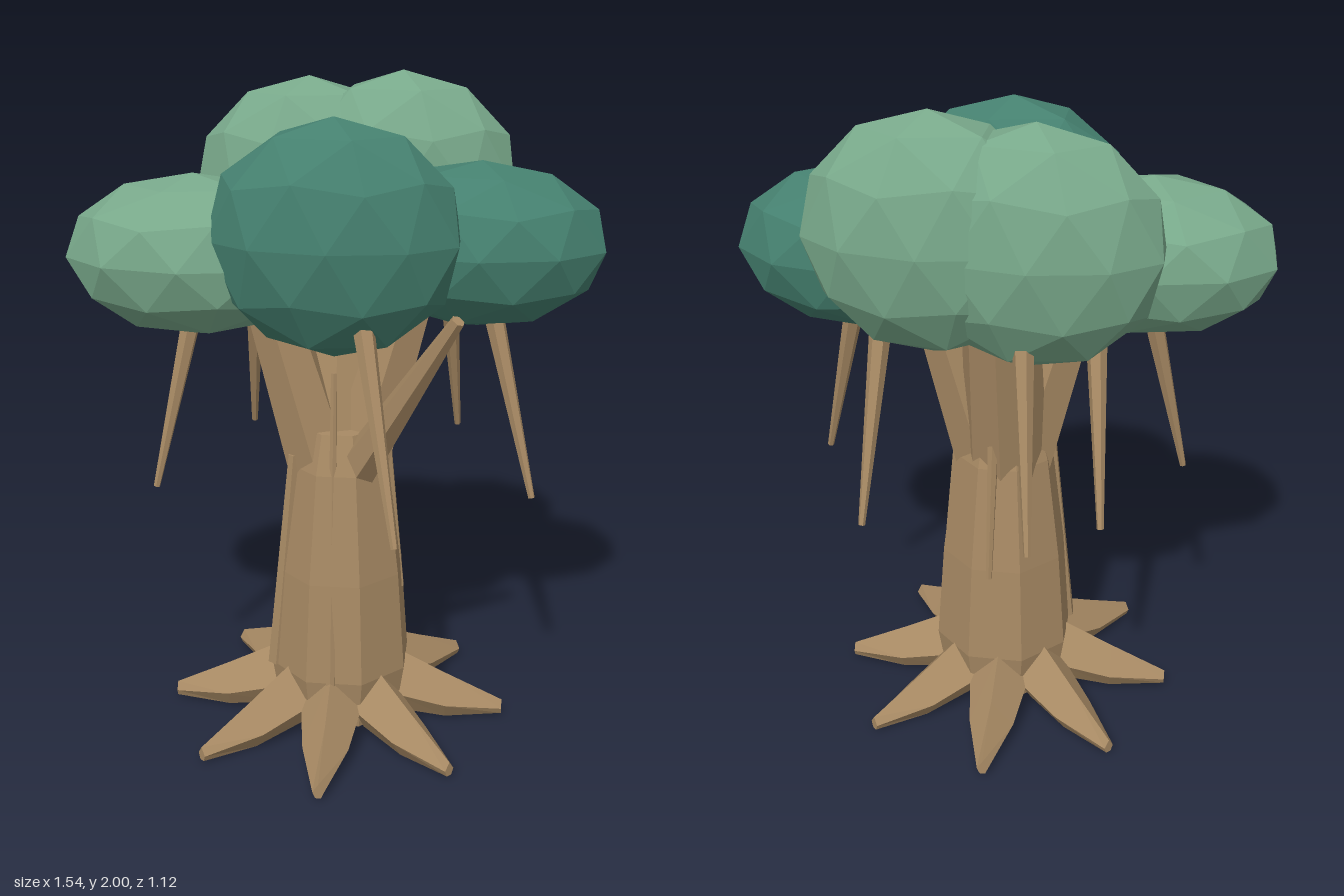
import * as THREE from 'three';

const V = (a) => new THREE.Vector3(...a);

export function createModel() {
  const tree = new THREE.Group();
  tree.name = 'tree';
  const material = (name, color) => {
    const m = new THREE.MeshStandardMaterial({ color, flatShading: true });
    m.name = name;
    return m;
  };
  const bark = material('bark', 0xa88a64);
  const lightLeaf = material('lightLeaf', 0x78a88a);
  const darkLeaf = material('darkLeaf', 0x45806f);

  const add = (name, geometry, mat) => {
    const mesh = new THREE.Mesh(geometry, mat);
    mesh.name = name;
    tree.add(mesh);
    return mesh;
  };

  // Tapered straight limb between two points
  const limb = (name, from, to, r0, r1, sides = 6) => {
    const a = V(from), b = V(to), dir = b.clone().sub(a);
    const mesh = add(name, new THREE.CylinderGeometry(r1, r0, dir.length(), sides), bark);
    mesh.position.copy(a).add(b).multiplyScalar(0.5);
    mesh.quaternion.setFromUnitVectors(new THREE.Vector3(0, 1, 0), dir.normalize());
  };

  // Trunk: eight-sided, narrowing upwards
  const profile = [[0, 0.04], [0.2, 0.04], [0.225, 0.2], [0.2, 0.52], [0.155, 0.86], [0.12, 0.98], [0, 0.98]];
  const trunk = add('trunk', new THREE.LatheGeometry(
    profile.map(([r, y]) => new THREE.Vector2(r, y)), 8, Math.PI / 8), bark);
  trunk.position.set(0.01, 0, 0.03);

  // Thin aerial roots hugging the trunk
  limb('frontTrunkRoot', [0, 0.1, 0.245], [0, 1.17, 0.13], 0.016, 0.01);
  limb('leftTrunkRoot', [0.2, 0.43, 0], [0.14, 0.95, 0], 0.008, 0.02);
  limb('rightTrunkRoot', [-0.185, 0.2, 0.11], [-0.125, 0.9, 0.1], 0.03, 0.018);
  limb('backTrunkRoot', [0.03, 0.5, -0.165], [0.02, 1.1, -0.1], 0.01, 0.02);

  // Main branches into the crown
  limb('leftBranch', [0.04, 0.78, 0.02], [0.22, 1.42, 0], 0.11, 0.08);
  limb('rightBranch', [-0.03, 0.78, 0.04], [-0.21, 1.42, 0.05], 0.11, 0.08);
  limb('backBranch', [0.0, 0.8, 0.02], [0, 1.5, -0.14], 0.13, 0.11, 8);
  limb('frontBranch', [0.03, 0.8, 0.08], [0.36, 1.39, 0.32], 0.07, 0.02);

  // Ground roots: a ridged five-point section swept outwards
  // Stations: radius, half width, ridge height, flank height, underside height
  const stations = [
    [0.1, 0.06, 0.22, 0.11, 0.05],
    [0.19, 0.095, 0.22, 0.11, 0.03],
    [0.35, 0.07, 0.14, 0.06, 0.004],
    [0.53, 0.017, 0.055, 0.03, 0.01],
  ];
  const positions = [], index = [];
  for (const [r, w, top, mid, low] of stations) {
    for (const [x, y] of [[0, top], [-w, mid], [-w * 0.5, low], [w * 0.5, low], [w, mid]]) positions.push(x, y, r);
  }
  for (let s = 0; s < stations.length - 1; s++) {
    for (let i = 0; i < 5; i++) {
      const a = s * 5 + i, b = s * 5 + (i + 1) % 5;
      index.push(a, b, b + 5, a, b + 5, a + 5);
    }
  }
  const end = (stations.length - 1) * 5;
  for (let i = 1; i < 4; i++) {
    index.push(0, i + 1, i);
    index.push(end, end + i, end + i + 1);
  }
  const rootGeometry = new THREE.BufferGeometry();
  rootGeometry.setAttribute('position', new THREE.Float32BufferAttribute(positions, 3));
  rootGeometry.setIndex(index);
  rootGeometry.computeVertexNormals();
  for (let i = 0; i < 8; i++) {
    const root = add('groundRoot', rootGeometry, bark);
    root.position.z = 0.03;
    root.rotation.y = i * Math.PI / 4;
  }

  // Hanging roots under the crown
  for (const [from, to] of [
    [[-0.42, 1.36, 0.06], [-0.545, 0.79, 0.13]],
    [[-0.28, 1.38, -0.17], [-0.325, 0.84, -0.37]],
    [[-0.1, 1.42, -0.37], [-0.14, 0.85, -0.555]],
    [[0.1, 1.38, 0.32], [0.21, 0.81, 0.55]],
    [[0.315, 1.38, -0.26], [0.355, 0.83, -0.43]],
    [[0.45, 1.36, 0], [0.59, 0.79, 0.1]],
  ]) limb('hangingRoot', from, to, 0.032, 0.01);

  // Foliage: faceted balls with a pole pointing up, squashed to size
  const ball = new THREE.IcosahedronGeometry(1, 1);
  ball.rotateX(-Math.atan((1 + Math.sqrt(5)) / 2));
  ball.rotateY(Math.PI / 2);
  for (const [name, mat, center, size, turn] of [
    ['frontFoliage', darkLeaf, [0.01, 1.585, 0.225], [0.365, 0.335, 0.205], 0],
    ['leftFoliage', darkLeaf, [0.41, 1.53, -0.02], [0.375, 0.243, 0.25], 0],
    ['rightFoliage', lightLeaf, [-0.41, 1.505, 0.09], [0.38, 0.236, 0.253], Math.PI],
    ['backRightFoliage', lightLeaf, [-0.12, 1.64, -0.28], [0.36, 0.34, 0.2], Math.PI],
    ['backLeftFoliage', lightLeaf, [0.165, 1.66, -0.27], [0.36, 0.34, 0.206], 0],
  ]) {
    const foliage = add(name, ball, mat);
    foliage.position.copy(V(center));
    foliage.scale.copy(V(size));
    foliage.rotation.y = turn;
  }
  return tree;
}
